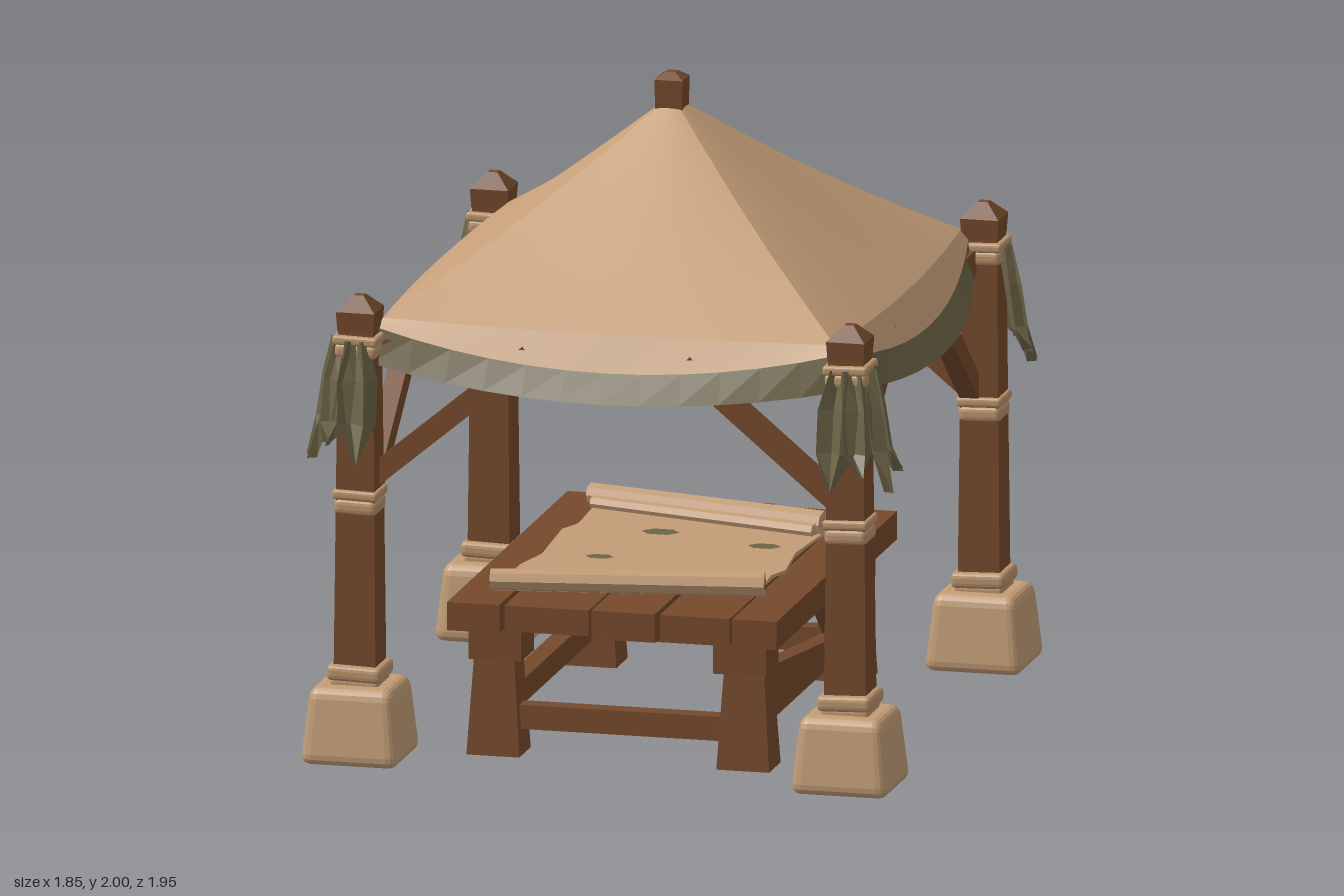
import * as THREE from 'three';
import { RoundedBoxGeometry } from 'three/addons/geometries/RoundedBoxGeometry.js';

const mat = (name, color, opts = {}) => {
  const m = new THREE.MeshStandardMaterial({ color, ...opts });
  m.name = name;
  return m;
};

export function createModel() {
  const root = new THREE.Group();
  root.name = 'marketTent';
  const wood = mat('brown wood', 0x75492b, { flatShading: true });
  const canvas = mat('tan canvas', 0xc59f78, { side: THREE.DoubleSide });
  const olive = mat('olive cloth', 0x6d6447, { side: THREE.DoubleSide, flatShading: true });
  const stone = mat('sandy stone', 0xc29c76, { flatShading: true });
  const wrap = mat('pale wrapping', 0xba936c, { flatShading: true });

  const add = (name, geo, m, parent = root, x = 0, y = 0, z = 0) => {
    const mesh = new THREE.Mesh(geo, m);
    mesh.name = name;
    mesh.position.set(x, y, z);
    parent.add(mesh);
    return mesh;
  };
  // Square tapered block standing on its origin
  const taper = (bottom, top, h) => new THREE.CylinderGeometry(top / Math.SQRT2, bottom / Math.SQRT2, h, 4)
    .rotateY(Math.PI / 4).translate(0, h / 2, 0);
  // Straight timber from a to b
  const bar = (name, a, b, w, h, parent = root) => {
    const p = new THREE.Vector3(...a), q = new THREE.Vector3(...b);
    const mesh = new THREE.Mesh(new THREE.BoxGeometry(w, h, p.distanceTo(q)), wood);
    mesh.name = name;
    mesh.position.copy(p).add(q).multiplyScalar(0.5);
    mesh.lookAt(q);
    parent.add(mesh);
  };
  // Surface through rows of points
  const loft = (rows) => {
    const n = rows[0].length, index = [];
    for (let r = 0; r < rows.length - 1; r++) {
      for (let i = 0; i < n - 1; i++) {
        const a = r * n + i, b = a + n;
        index.push(a, b, a + 1, a + 1, b, b + 1);
      }
    }
    const g = new THREE.BufferGeometry();
    g.setAttribute('position', new THREE.Float32BufferAttribute(rows.flat(2), 3));
    g.setIndex(index);
    g.computeVertexNormals();
    return g;
  };

  // Pointed, folded strip of cloth hanging outward at an angle
  const strip = (angle, tipY, width) => {
    const levels = [[1.32, 0.07, 0.06], [1.2, 0.095, width], [1.07, 0.115, width * 0.95], [tipY, 0.15, 0.015]];
    return loft(levels.map(([y, out, w]) => [-1, -0.35, 0.35, 1].map((s, i) => {
      const r = out + (i % 2 ? 0.012 : -0.02);
      const t = s * w / 2;
      return [r * Math.cos(angle) - t * Math.sin(angle), y + Math.abs(s) * (tipY > y - 0.01 ? 0.02 : 0),
        r * Math.sin(angle) + t * Math.cos(angle)];
    })));
  };

  // Four posts with stone feet, wrappings and hanging cloth
  for (const sx of [-1, 1]) {
    for (const sz of [-1, 1]) {
      const g = new THREE.Group();
      g.name = 'cornerPost';
      g.position.set(sx * 0.765, 0, sz * 0.812);
      root.add(g);
      const foot = new RoundedBoxGeometry(0.32, 0.24, 0.32, 2, 0.035);
      const p = foot.attributes.position;
      for (let i = 0; i < p.count; i++) {
        const k = 0.86 - 0.62 * p.getY(i) - (p.getY(i) < 0 ? 0 : 0.08 * p.getY(i));
        p.setX(i, p.getX(i) * Math.min(k, 0.96) * 1.03);
        p.setZ(i, p.getZ(i) * Math.min(k, 0.96) * 1.03);
      }
      add('stoneFoot', foot, stone, g, 0, 0.13, 0);
      add('post', taper(0.132, 0.108, 1.17), wood, g, 0, 0.23, 0);
      add('postCap', taper(0.112, 0.12, 0.06), wood, g, 0, 1.345, 0);
      add('postPoint', taper(0.12, 0.03, 0.045), wood, g, 0, 1.405, 0);
      for (const [y, w, h] of [[0.285, 0.172, 0.05], [0.252, 0.15, 0.03], [0.8, 0.134, 0.05], [0.838, 0.142, 0.03],
        [1.285, 0.132, 0.045], [1.318, 0.142, 0.03]]) {
        const band = add('wrapping', new RoundedBoxGeometry(w, h, w, 2, h * 0.35), wrap, g, 0, y, 0);
        band.rotation.z = sx * 0.03;
      }
      const mid = Math.atan2(sz, sx);
      [[-0.95, 0.99, 0.1], [-0.4, 0.94, 0.11], [0.3, 1.0, 0.1], [0.95, 0.95, 0.12]].forEach(([d, y, w]) =>
        add('hangingCloth', strip(mid + d * sx * sz, y, w), olive, g));
      // Diagonal braces towards both neighbouring posts
      bar('brace', [sx * 0.74, 0.872, sz * 0.775], [sx * 0.24, 1.29, sz * 0.775], 0.06, 0.065);
      bar('brace', [sx * 0.735, 0.872, sz * 0.77], [sx * 0.735, 1.29, sz * 0.24], 0.06, 0.065);
    }
  }
  for (const s of [-1, 1]) {
    bar('eaveBeam', [-0.74, 1.27, s * 0.765], [0.74, 1.27, s * 0.765], 0.06, 0.08);
    bar('eaveBeam', [s * 0.725, 1.27, -0.78], [s * 0.725, 1.27, 0.78], 0.06, 0.08);
  }

  // Canopy: each row is [corner x, corner z, corner y, mid depth x, mid depth z, mid y]
  const crease = [0.705, 0.765, 1.37, 0.735, 0.775, 1.362];
  const edge = [0.725, 0.785, 1.345, 0.803, 0.832, 1.255];
  const hem = [0.735, 0.8, 1.235, 0.848, 0.887, 1.17];
  const N = 12;
  const row = (r, side) => Array.from({ length: N + 1 }, (_, i) => {
    const u = i / N * 2 - 1, k = 1 - u * u, even = side % 2 === 0;
    const along = u * (even ? r[0] : r[1]);
    const corner = even ? r[1] : r[0], middle = even ? r[4] : r[3];
    const out = corner + (middle - corner) * k;
    const y = r[2] + (r[5] - r[2]) * k;
    return [[along, y, out], [out, y, -along], [-along, y, -out], [-out, y, along]][side];
  });
  const apexRow = (t) => crease.map((v, i) => (i % 3 === 2
    ? 1.925 + (v - 1.925) * t - (i === 2 ? 0.025 : 0.004) * Math.sin(Math.PI * t)
    : v * t));
  for (let side = 0; side < 4; side++) {
    const rows = [0.004, 0.2, 0.4, 0.6, 0.8, 1].map((t) => row(apexRow(t), side));
    add('roofPanel', loft(rows), canvas);
    add('roofSkirt', loft([row(crease, side), row(edge, side)]), canvas);
    add('valance', loft([row(edge, side), row(hem, side)]), olive);
  }
  add('finial', taper(0.082, 0.088, 0.125), wood, root, 0, 1.855, 0);
  add('finialPoint', taper(0.088, 0.03, 0.02), wood, root, 0, 1.98, 0);

  // Table
  const table = new THREE.Group();
  table.name = 'table';
  root.add(table);
  const cuts = [-0.52, -0.345, -0.07, 0.14, 0.37, 0.52];
  for (let i = 0; i < 5; i++) {
    const w = cuts[i + 1] - cuts[i] - 0.012, len = 1.46 - (i % 2) * 0.03;
    add('plank', new THREE.BoxGeometry(w, 0.088 - (i % 2) * 0.008, len), wood, table,
      (cuts[i] + cuts[i + 1]) / 2, 0.445, 0);
  }
  for (const sx of [-1, 1]) {
    for (const sz of [-1, 1]) {
      add('tableLeg', taper(0.165, 0.125, 0.31), wood, table, sx * 0.39, 0, sz * 0.588).scale.z = 0.85;
      add('legCap', new THREE.BoxGeometry(0.165, 0.1, 0.155), wood, table, sx * 0.382, 0.35, sz * 0.588);
    }
    bar('endStretcher', [-0.34, 0.117, sx * 0.588], [0.34, 0.117, sx * 0.588], 0.06, 0.075, table);
  }
  bar('sideStretcher', [-0.39, 0.142, -0.55], [-0.39, 0.142, 0.55], 0.06, 0.075, table);
  // Tapering side board and its diagonal brace
  const board = new THREE.Shape([[-0.55, 0.105], [0.55, 0.105], [0.55, 0.29], [-0.36, 0.18], [-0.55, 0.158]]
    .map(([z, y]) => new THREE.Vector2(-z, y)));
  add('sideBoard', new THREE.ExtrudeGeometry(board, { depth: 0.06, bevelEnabled: false })
    .rotateY(Math.PI / 2), wood, table, 0.36, 0, 0);
  bar('tableBrace', [0.39, 0.42, -0.18], [0.39, 0.15, -0.5], 0.055, 0.07, table);

  // Unrolled sheet with a roll at each end
  const scroll = new THREE.Group();
  scroll.name = 'unrolledSheet';
  root.add(scroll);
  const outline = [[-0.41, 0.55], [0.38, 0.43], [0.36, 0.2], [0.385, 0.12], [0.36, -0.1], [0.38, -0.38],
    [-0.38, -0.55], [-0.37, -0.3], [-0.4, -0.22], [-0.38, 0.1], [-0.41, 0.25]];
  const sheet = new THREE.Shape(outline.map(([x, z]) => new THREE.Vector2(x, -z)));
  add('sheet', new THREE.ExtrudeGeometry(sheet, { depth: 0.01, bevelEnabled: false })
    .rotateX(-Math.PI / 2), stone, scroll, 0, 0.489, 0);
  for (const [x1, z1, x2, z2] of [[-0.42, 0.57, 0.4, 0.43], [-0.4, -0.57, 0.38, -0.37]]) {
    const len = Math.hypot(x2 - x1, z2 - z1);
    const ang = -Math.atan2(z2 - z1, x2 - x1);
    const cx = (x1 + x2) / 2, cz = (z1 + z2) / 2;
    add('roll', new THREE.CylinderGeometry(0.033, 0.039, len, 8).rotateZ(Math.PI / 2), stone, scroll, cx, 0.528, cz)
      .rotation.y = ang;
    add('rollFold', new THREE.CylinderGeometry(0.022, 0.024, len * 0.95, 7).rotateZ(Math.PI / 2), stone, scroll,
      cx, 0.512, cz - Math.sign(cz) * 0.045).rotation.y = ang;
    add('rollCore', new THREE.CylinderGeometry(0.017, 0.017, len + 0.006, 8).rotateZ(Math.PI / 2), wood, scroll,
      cx, 0.528, cz).rotation.y = ang;
  }
  // Stains on the sheet
  for (const [x, z, r] of [[0.2, 0.25, 0.045], [-0.2, 0.1, 0.03], [0.25, -0.15, 0.035], [-0.1, -0.25, 0.04]]) {
    add('stain', new THREE.CircleGeometry(r, 6).rotateX(-Math.PI / 2), olive, scroll, x, 0.501, z).scale.x = 1.5;
  }
  return root;
}
